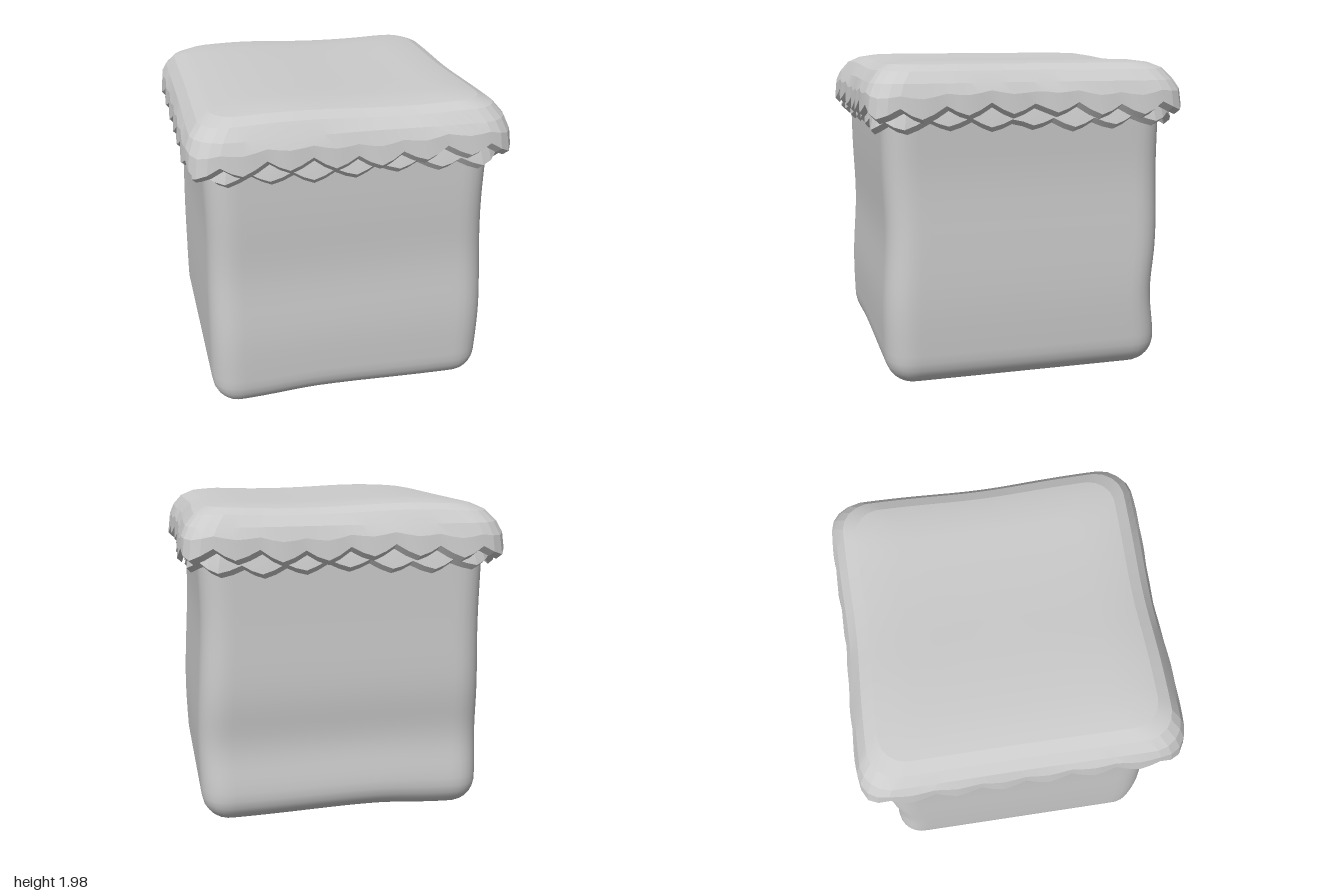
import * as THREE from 'three';
import { mergeVertices, toCreasedNormals } from 'three/addons/utils/BufferGeometryUtils.js';

const material = new THREE.MeshStandardMaterial({ color: 0xcccccc, side: THREE.DoubleSide });
const bump = (v, centre, width) => Math.exp(-(((v - centre) / width) ** 2));

// Point at fraction t (0..1) round a rounded square with the given half width
function squarePoint(t, half) {
  const r = 0.2 * half, s = half - r, arc = Math.PI * r / 2;
  const side = Math.floor(t * 4) % 4;
  let d = (t * 4 - Math.floor(t * 4)) * (2 * s + arc);
  let x = half, z;
  if (d < s) z = d;
  else if (d < s + arc) {
    const a = (d - s) / (r || 1);
    x = s + r * Math.cos(a);
    z = s + r * Math.sin(a);
  } else {
    x = s - (d - s - arc);
    z = half;
  }
  for (let i = 0; i < side; i++) [x, z] = [-z, x];
  return [x, z];
}

// Cloth layer: rings of [half width, height, scallop height, flare]
function clothLayer(name, rings, phase) {
  const scallops = 28, n = scallops * 4, wave = [1, 0.4, 0, 0.4];
  const pos = [], index = [];
  rings.forEach(([half, y, lift, flare]) => {
    for (let j = 0; j < n; j++) {
      const w = wave[j % 4];
      const uneven = 0.012 * Math.sin(j * 0.41 + phase * 9) * (lift ? 1 : 0);
      let [x, z] = squarePoint(((j + phase) / n) % 1, half + flare * (0.5 - w));
      // Soft dents in the sides and a gentle swell across the top
      x *= 1 - 0.025 * bump(z, 0, 0.4) * (x > 0 ? 1 : 0.2);
      z *= 1 - 0.018 * bump(x, 0, 0.35);
      const swell = 0.022 * bump(x, -0.4, 0.4) + 0.012 * bump(x, 0.75, 0.25);
      pos.push(x, y + w * lift + uneven + (y > 1.85 ? swell : 0), z);
    }
  });
  for (let i = 0; i < rings.length - 1; i++) {
    for (let j = 0; j < n; j++) {
      const k = (j + 1) % n;
      const a = i * n + j, b = i * n + k, c = a + n, d = b + n;
      index.push(a, b, c, b, d, c);
    }
  }
  const geo = new THREE.BufferGeometry();
  geo.setAttribute('position', new THREE.Float32BufferAttribute(pos, 3));
  geo.setIndex(index);
  const mesh = new THREE.Mesh(toCreasedNormals(geo, 0.2), material);
  mesh.name = name;
  return mesh;
}

// Soft block with rounded edges and slightly uneven sides
function softBody() {
  const size = new THREE.Vector3(0.885, 0.945, 0.88), r = 0.17;
  let geo = new THREE.BoxGeometry(size.x * 2, size.y * 2, size.z * 2, 36, 36, 36);
  geo.deleteAttribute('normal');
  geo.deleteAttribute('uv');
  geo = mergeVertices(geo);
  const p = geo.attributes.position, v = new THREE.Vector3();
  const inner = size.clone().subScalar(r), low = inner.clone().negate();
  for (let i = 0; i < p.count; i++) {
    v.fromBufferAttribute(p, i);
    const core = v.clone().clamp(low, inner);
    v.sub(core).setLength(r).add(core);
    const y = v.y + size.y;
    v.x *= 1 + (v.x > 0
      ? 0.022 * bump(y, 0.5, 0.4) - 0.015 * bump(y, 1.3, 0.3)
      : 0.005 * bump(y, 0.4, 0.4) - 0.012 * bump(y, 1.2, 0.35));
    v.z *= 1 + (v.z > 0
      ? 0.012 * bump(y, 0.45, 0.3) - 0.018 * bump(y, 0.95, 0.3)
      : 0.008 * bump(y, 0.9, 0.3) - 0.03 * bump(y, 0.5, 0.22) + 0.01 * bump(y, 0.2, 0.15));
    const rise = 0.028 * bump(v.x, -0.2, v.x < -0.2 ? 0.32 : 0.6);
    p.setXYZ(i, v.x, y + rise * Math.max(0, 1 - y / 0.8), v.z);
  }
  geo.computeVertexNormals();
  const mesh = new THREE.Mesh(geo, material);
  mesh.name = 'body';
  return mesh;
}

export function createModel() {
  const model = new THREE.Group();
  model.name = 'coveredBlock';
  model.add(softBody());
  // Upper cloth: domed top, scalloped hem, inner lining
  model.add(clothLayer('upperCover', [
    [0, 1.962, 0, 0], [0.2, 1.962, 0, 0], [0.4, 1.962, 0, 0], [0.58, 1.961, 0, 0],
    [0.72, 1.957, 0, 0], [0.82, 1.942, 0, 0], [0.895, 1.908, 0, 0], [0.95, 1.85, 0, 0],
    [0.98, 1.775, 0.02, 0.008], [0.99, 1.66, 0.065, 0.016],
    [0.962, 1.63, 0.065, 0.016], [0.945, 1.77, 0, 0], [0.88, 1.87, 0, 0],
  ], 0));
  // Lower cloth: narrow frill showing beneath the upper hem
  model.add(clothLayer('lowerFrill', [
    [0.885, 1.83, 0, 0], [0.915, 1.74, 0.01, 0.006], [0.942, 1.59, 0.05, 0.014],
    [0.915, 1.56, 0.05, 0.014], [0.89, 1.7, 0, 0], [0.86, 1.8, 0, 0],
  ], 2));
  return model;
}
